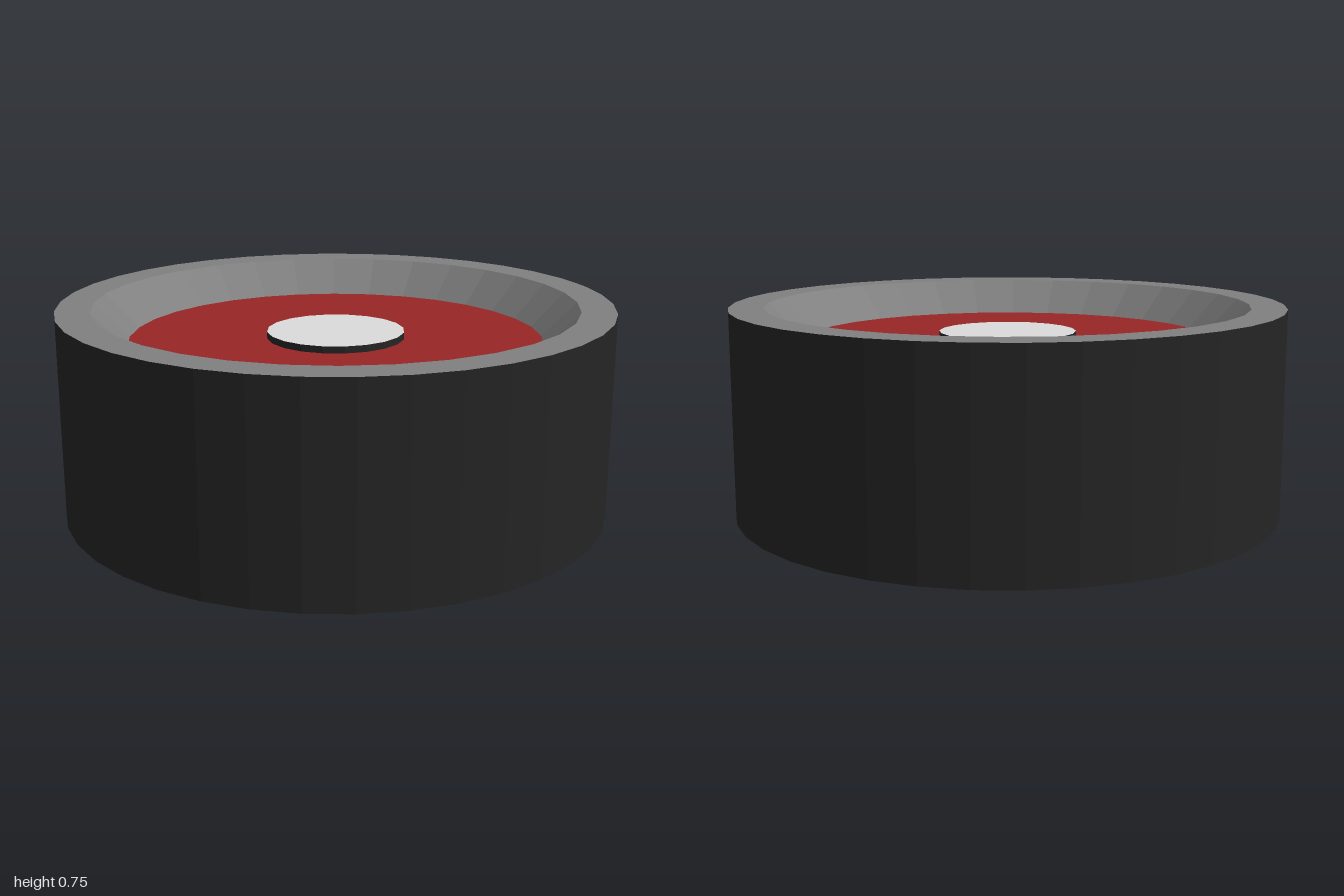
import * as THREE from 'three';

const mat = (name, color, extra = {}) => {
  const m = new THREE.MeshStandardMaterial({ color, flatShading: true, ...extra });
  m.name = name;
  return m;
};

// Corner points of a regular polygon with a corner on +x
const ring = (radius, sides) => Array.from({ length: sides }, (_, i) => {
  const a = (i / sides) * Math.PI * 2;
  return new THREE.Vector2(Math.cos(a) * radius, Math.sin(a) * radius);
});

export function createModel() {
  const black = mat('black rubber', 0x252525);
  const grey = mat('grey metal', 0x808080);
  const red = mat('red face', 0x992626);
  const silver = mat('silver cap', 0xdcdcdc);

  const OUTER = 38, INNER = 32, HUB = 20;
  const TOP = 0.75, FLOOR = 0.625, HUB_TOP = 0.65;
  const group = new THREE.Group();
  const add = (name, geometry, material, y) => {
    const mesh = new THREE.Mesh(geometry, material);
    mesh.name = name;
    mesh.position.y = y;
    group.add(mesh);
    return mesh;
  };
  const flat = (geometry) => geometry.rotateX(-Math.PI / 2);

  // Outer wall and base; rotated so a corner points along +x
  add('outerWall', new THREE.CylinderGeometry(1, 1, TOP, OUTER, 1, true).rotateY(Math.PI / 2), black, TOP / 2);
  add('base', new THREE.CircleGeometry(1, OUTER).rotateX(Math.PI / 2), black, 0);

  // Flat rim between the outer polygon and the recess
  const rim = new THREE.Shape(ring(1, OUTER));
  rim.holes.push(new THREE.Path(ring(0.875, INNER)));
  add('rim', flat(new THREE.ShapeGeometry(rim)), grey, TOP);

  // Sloped wall of the recess, facing inward
  const slope = [new THREE.Vector2(0.875, TOP), new THREE.Vector2(0.75, FLOOR)];
  add('recessSlope', new THREE.LatheGeometry(slope, INNER), grey, 0);

  // Red face at the bottom of the recess
  add('redFace', flat(new THREE.CircleGeometry(0.75, INNER)), red, FLOOR);

  // Raised hub: dark side, silver top
  const hubHeight = HUB_TOP - FLOOR;
  add('hubSide', new THREE.CylinderGeometry(0.25, 0.25, hubHeight, HUB, 1, true).rotateY(Math.PI / 2), black, FLOOR + hubHeight / 2);
  add('hubCap', flat(new THREE.CircleGeometry(0.25, HUB)), silver, HUB_TOP);

  return group;
}
